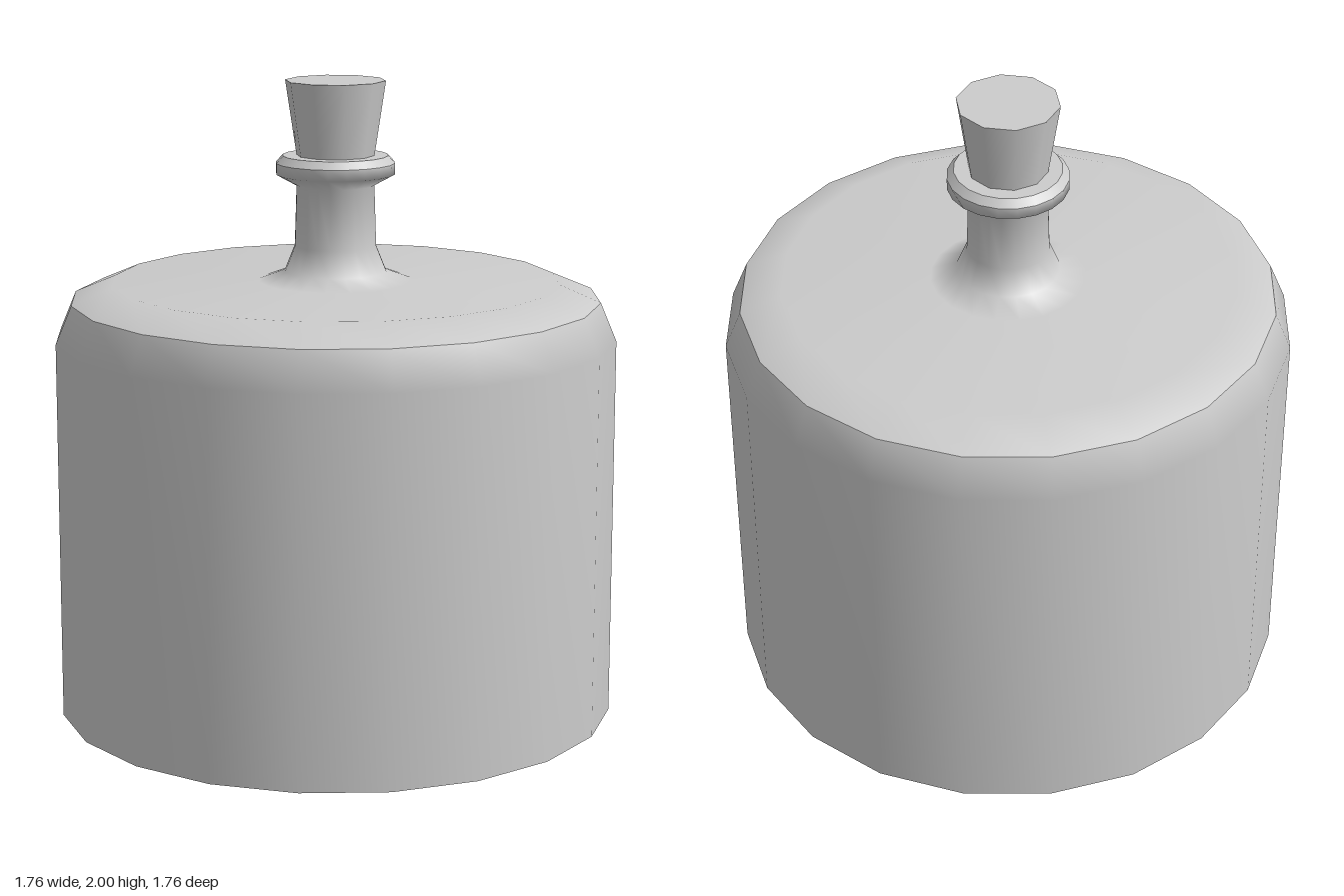
import * as THREE from 'three';

const material = new THREE.MeshStandardMaterial({ color: 0xcccccc });

// Smooth band of revolution; hard edges fall where one band ends and the next begins
function band(name, points) {
  const profile = points.map(([r, y]) => new THREE.Vector2(r, y));
  const mesh = new THREE.Mesh(new THREE.LatheGeometry(profile, 20), material);
  mesh.name = name;
  return mesh;
}

export function createModel() {
  const model = new THREE.Group();
  model.name = 'bottle';

  // Wide round body
  const body = new THREE.Group();
  body.name = 'body';
  body.add(
    band('base', [[0, 0], [0.88, 0]]),
    band('wall', [[0.88, 0], [0.88, 1.2], [0.83, 1.32]]),
    // Shoulder sweeping into the flared neck and the underside of its lip
    band('shoulderAndNeck', [
      [0.83, 1.32], [0.7, 1.375], [0.24, 1.375], [0.16, 1.405],
      [0.128, 1.485], [0.122, 1.675], [0.186, 1.71], [0.186, 1.745],
    ])
  );

  // Lip around the mouth
  const lip = new THREE.Group();
  lip.name = 'lip';
  lip.add(
    band('lipBevel', [[0.186, 1.745], [0.165, 1.768]]),
    band('lipTop', [[0.165, 1.768], [0, 1.768]])
  );

  // Tapered ten-sided stopper
  const stopper = new THREE.Mesh(
    new THREE.CylinderGeometry(0.157, 0.122, 0.232, 10, 1, false, Math.PI / 2),
    material
  );
  stopper.name = 'stopper';
  stopper.position.y = 1.884;

  model.add(body, lip, stopper);
  return model;
}
